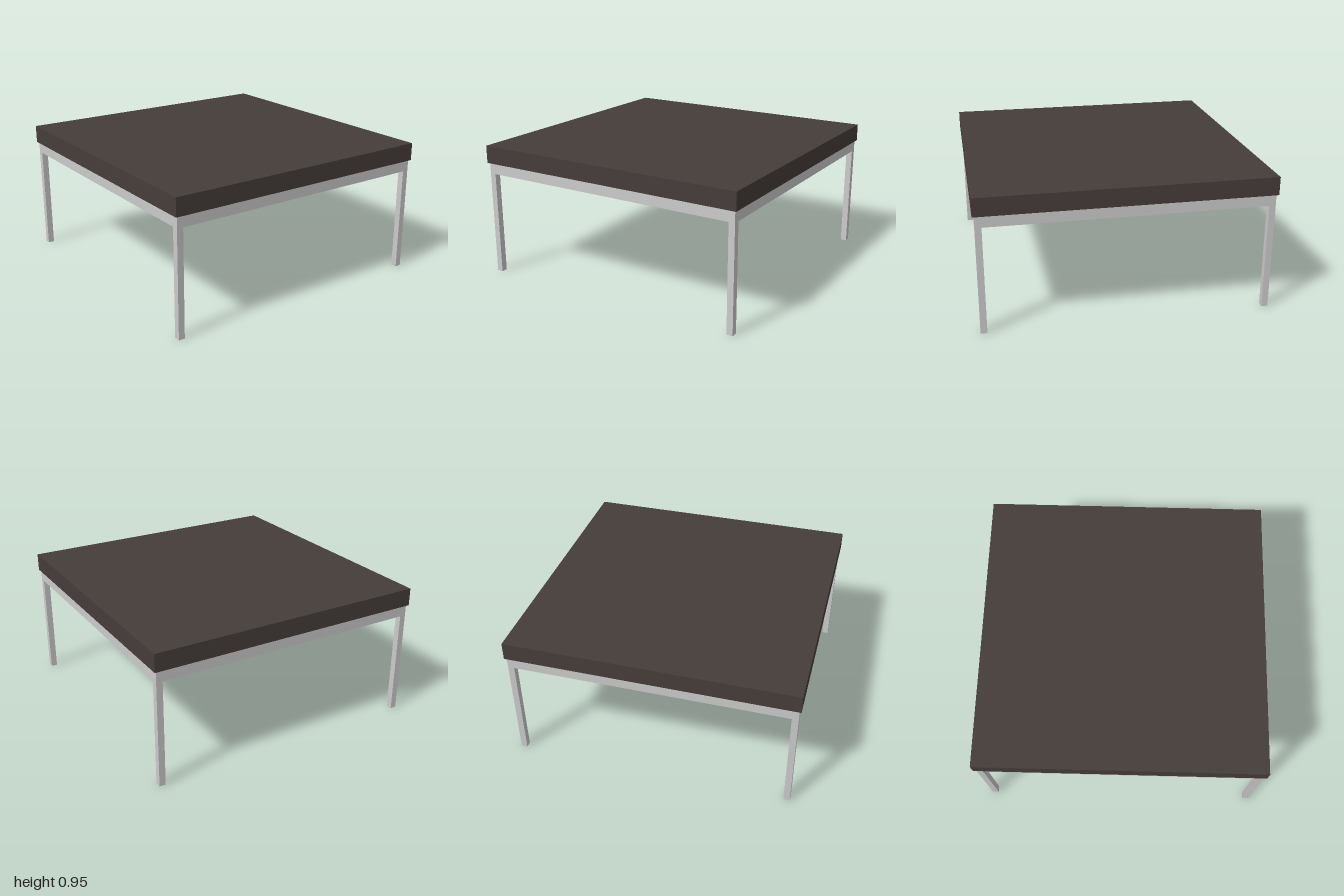
import * as THREE from 'three';

export function createModel() {
  const group = new THREE.Group();
  const metal = new THREE.MeshStandardMaterial({ color: 0xcccccc });
  const dark = new THREE.MeshStandardMaterial({ color: 0x463d3a });

  const box = (name, width, bottom, top, x, z, material) => {
    const mesh = new THREE.Mesh(new THREE.BoxGeometry(width, top - bottom, width), material);
    mesh.name = name;
    mesh.position.set(x, (bottom + top) / 2, z);
    group.add(mesh);
  };

  const half = 0.987; // outer face of the frame
  const leg = 0.044; // leg thickness
  const apronBottom = 0.748;
  const slabBottom = 0.826;

  // Thick square top resting on a closed apron
  box('tableTop', 2, slabBottom, 0.952, 0, 0, dark);
  box('apron', half * 2, apronBottom, slabBottom, 0, 0, metal);

  // Four square legs, flush with the apron's corners
  for (const [xName, sx] of [['Left', 1], ['Right', -1]]) {
    for (const [zName, sz] of [['front', 1], ['back', -1]]) {
      const offset = half - leg / 2;
      box(`${zName}${xName}Leg`, leg, 0, apronBottom, sx * offset, sz * offset, metal);
    }
  }
  return group;
}
